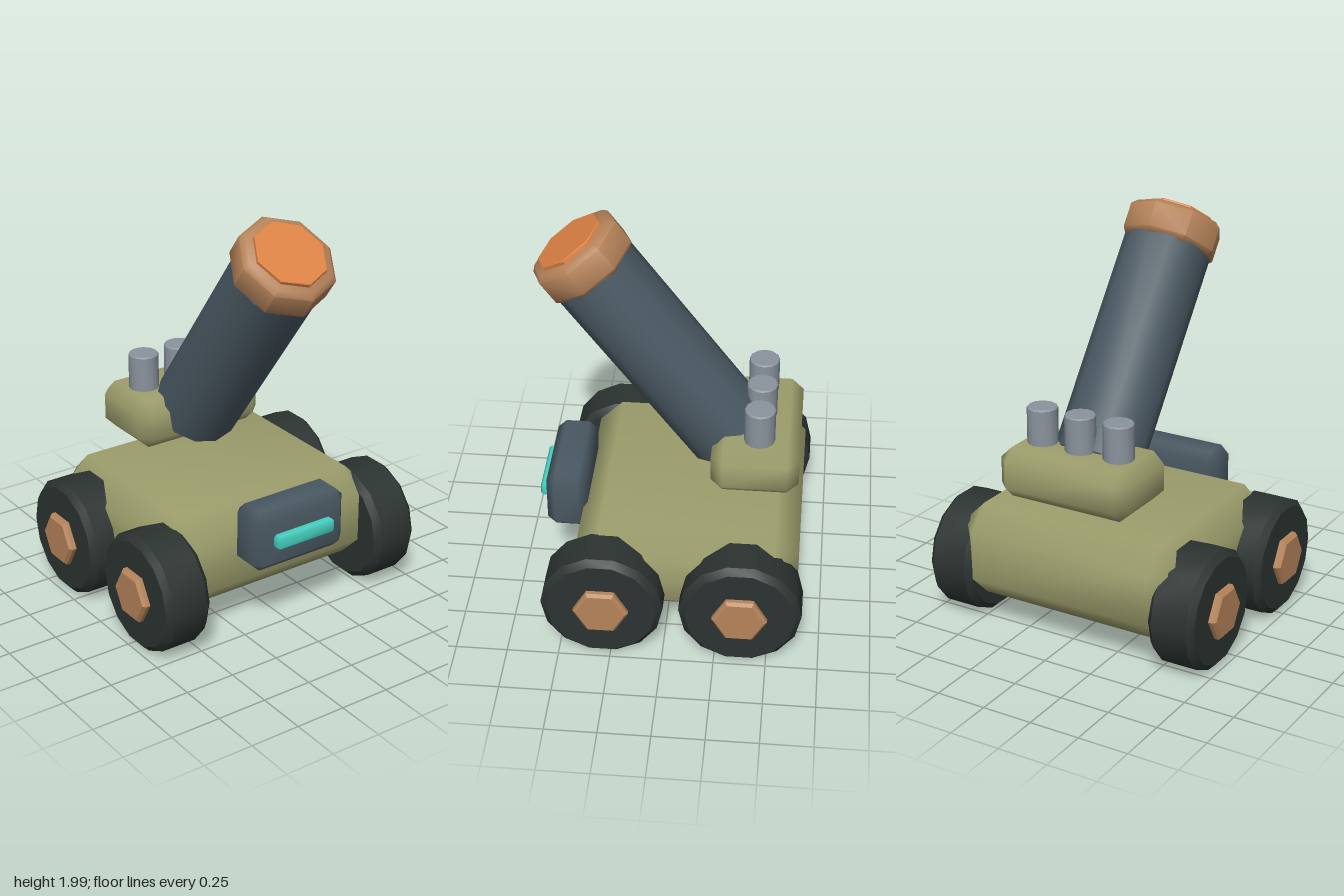
import * as THREE from 'three';
import { mergeVertices, toCreasedNormals } from 'three/addons/utils/BufferGeometryUtils.js';
import { ConvexGeometry } from 'three/addons/geometries/ConvexGeometry.js';

const paint = (name, color) => {
  const m = new THREE.MeshStandardMaterial({ color });
  m.name = name;
  return m;
};

// Box with one-step chamfers and soft normals
function chamferBox(w, h, d, c) {
  const points = [];
  for (const x of [-1, 1]) for (const y of [-1, 1]) for (const z of [-1, 1])
    for (let axis = 0; axis < 3; axis++) {
      const inset = [c, c, c];
      inset[axis] = 0;
      points.push(new THREE.Vector3(
        x * (w / 2 - inset[0]), y * (h / 2 - inset[1]), z * (d / 2 - inset[2])));
    }
  let g = new ConvexGeometry(points);
  g.deleteAttribute('normal');
  g = mergeVertices(g, 1e-4);
  g.computeVertexNormals();
  return g;
}

// Chamfered prism standing on y = 0, its corners on the x and z axes
function prism(r, h, c, sides, crease) {
  const profile = [[0, 0], [r - c, 0], [r, c], [r, h - c], [r - c, h], [0, h]]
    .map(([x, y]) => new THREE.Vector2(x, y));
  return toCreasedNormals(new THREE.LatheGeometry(profile, sides), crease);
}

export function createModel() {
  const model = new THREE.Group();
  model.name = 'mortarRover';

  const olive = paint('olive', 0x9c9e6c);
  const rubber = paint('rubber', 0x2b3331);
  const slate = paint('slate', 0x4a5963);
  const copper = paint('copper', 0xb5835a);
  const orange = paint('orange', 0xdd8345);
  const steel = paint('steel', 0x8a939d);
  const cyan = paint('cyan', 0x45cfc0);

  const add = (name, geometry, material, x, y, z, parent = model) => {
    const mesh = new THREE.Mesh(geometry, material);
    mesh.name = name;
    mesh.position.set(x, y, z);
    parent.add(mesh);
    return mesh;
  };

  // Body, front sensor and rear engine housing
  add('chassis', chamferBox(1.2, 0.475, 1.065, 0.115), olive, 0, 0.3775, -0.1025);
  add('sensorHead', chamferBox(0.524, 0.305, 0.2, 0.042), slate, 0, 0.5275, 0.51);
  add('visor', chamferBox(0.33, 0.07, 0.06, 0.012), cyan, 0, 0.53, 0.62);
  add('enginePack', chamferBox(0.705, 0.245, 0.42, 0.058), olive, 0, 0.8325, -0.405);

  // Three exhaust pipes
  const pipe = prism(0.074, 0.235, 0.006, 12, 0.6);
  for (const x of [-0.208, 0, 0.208]) add('exhaustPipe', pipe, steel, x, 0.9, -0.42);

  // Four wheels with hexagonal hubs
  const tyre = prism(0.293, 0.24, 0.03, 14, 0.6);
  const hub = prism(0.132, 0.12, 0.015, 6, 0.6);
  for (const side of [1, -1]) for (const z of [0.29, -0.37]) {
    const wheel = new THREE.Group();
    wheel.name = (z > 0 ? 'front' : 'rear') + (side > 0 ? 'Left' : 'Right') + 'Wheel';
    wheel.position.set(side * 0.49, 0.288, z);
    wheel.rotation.z = -side * Math.PI / 2;
    add('tyre', tyre, rubber, 0, 0, 0, wheel);
    add('hub', hub, copper, 0, 0.155, 0, wheel);
    model.add(wheel);
  }

  // Mortar tube leaning forward, with muzzle ring and glowing cap
  const mortar = new THREE.Group();
  mortar.name = 'mortar';
  mortar.position.set(0, 0.847, -0.274);
  mortar.rotation.x = 0.637;
  add('barrel', prism(0.215, 1.11, 0.005, 12, 0.6), slate, 0, 0, 0, mortar);
  add('muzzleRing', prism(0.24, 0.17, 0.025, 8, 0.9), copper, 0, 1.095, 0, mortar);
  add('muzzleCap', prism(0.18, 0.035, 0.004, 8, 0.6), orange, 0, 1.25, 0, mortar);
  model.add(mortar);

  return model;
}
